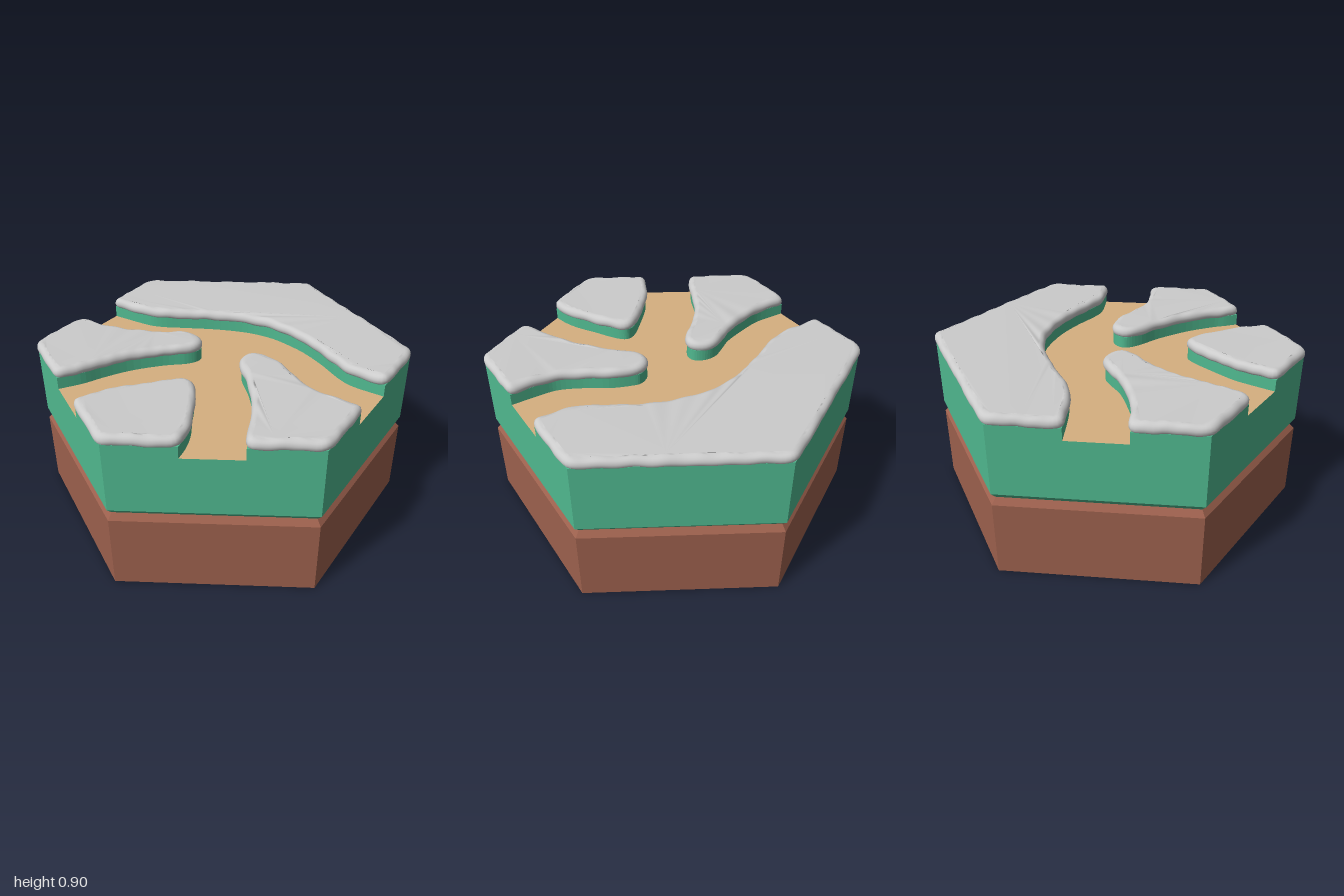
import * as THREE from 'three';
import { mergeVertices } from 'three/addons/utils/BufferGeometryUtils.js';

const GROOVE = 0.435, PATH = 0.782, GRASS = 0.845, BEVEL = 0.032;
const H = Math.sqrt(3) / 2; // half width of the hexagon

// Each island: straight outer corners, then the curved bank, as [x, z]
const ISLANDS = {
  back: {
    corners: [[-H, -0.15], [-H, -0.5], [0, -1], [H, -0.5], [H, -0.15]],
    bank: [[H, -0.15], [0.7, -0.155], [0.6, -0.19], [0.45, -0.28], [0.3, -0.35], [0.15, -0.39], [0.05, -0.4],
      [-0.08, -0.385], [-0.25, -0.325], [-0.42, -0.24], [-0.55, -0.175], [-0.65, -0.155], [-H, -0.15]],
  },
  right: {
    corners: [[-0.56, 0.677], [-H, 0.5], [-H, 0.15]],
    bank: [[-H, 0.15], [-0.7, 0.15], [-0.6, 0.13], [-0.42, 0.07], [-0.33, 0.015], [-0.26, -0.025], [-0.19, -0.03],
      [-0.135, 0], [-0.125, 0.05], [-0.16, 0.11], [-0.25, 0.19], [-0.36, 0.32], [-0.44, 0.46], [-0.49, 0.57], [-0.56, 0.677]],
  },
  left: {
    corners: [[H, 0.15], [H, 0.5], [0.56, 0.677]],
    bank: [[0.56, 0.677], [0.53, 0.61], [0.5, 0.53], [0.42, 0.38], [0.3, 0.22], [0.2, 0.12], [0.155, 0.05],
      [0.165, 0], [0.22, -0.035], [0.28, -0.025], [0.38, 0.015], [0.5, 0.09], [0.61, 0.14], [0.7, 0.15], [H, 0.15]],
  },
  front: {
    corners: [[-0.3, 0.827], [0, 1], [0.3, 0.827]],
    bank: [[0.3, 0.827], [0.285, 0.75], [0.25, 0.66], [0.19, 0.56], [0.13, 0.455], [0.085, 0.4], [0.045, 0.39],
      [0, 0.415], [-0.06, 0.475], [-0.18, 0.61], [-0.23, 0.69], [-0.3, 0.827]],
  },
};

const vec = ([x, z]) => new THREE.Vector2(x, -z);
const outline = ({ corners, bank }) => [
  ...corners.slice(0, -1).map(vec),
  ...new THREE.SplineCurve(bank.map(vec)).getPoints(bank.length * 4).slice(0, -1),
];

// Evenly spaced outline with softened corners
function soften(points) {
  const path = new THREE.Path([...points, points[0]]);
  let p = path.getSpacedPoints(Math.round(path.getLength() / 0.02)).slice(0, -1);
  for (let pass = 0; pass < 3; pass++) {
    p = p.map((v, i) => v.clone().multiplyScalar(2)
      .add(p[(i + 1) % p.length]).add(p[(i + p.length - 1) % p.length]).divideScalar(4));
  }
  return p;
}

function slab(points, options) {
  return new THREE.ExtrudeGeometry(new THREE.Shape(points), options).rotateX(-Math.PI / 2);
}

// Thick rounded cover with a slightly wavy rim
function coverGeometry(points) {
  let g = slab(soften(points), {
    depth: 0.006, bevelThickness: 0.028, bevelSize: 0.032, bevelOffset: -0.021, bevelSegments: 5,
  });
  g.deleteAttribute('uv');
  g.deleteAttribute('normal');
  g = mergeVertices(g, 1e-4);
  const p = g.attributes.position;
  for (let i = 0; i < p.count; i++) {
    const x = p.getX(i), z = p.getZ(i);
    p.setY(i, p.getY(i) + 0.002 * Math.sin(41 * x + 17 * z) + 0.0015 * Math.sin(67 * z - 29 * x));
    p.setX(i, x + 0.002 * Math.sin(37 * z + 5 * x));
    p.setZ(i, z + 0.002 * Math.sin(33 * x + 9 * z));
  }
  g.computeVertexNormals();
  return g;
}

export function createModel() {
  const model = new THREE.Group();
  const mat = (color, flatShading = true) => new THREE.MeshStandardMaterial({ color, flatShading });
  const earth = mat(0x9c604d), grass = mat(0x50b88f), sand = mat(0xd6b080), cover = mat(0xcccccc, false);

  const add = (name, geometry, material, y = 0, parent = model) => {
    const mesh = new THREE.Mesh(geometry, material);
    mesh.name = name;
    mesh.position.y = y;
    parent.add(mesh);
  };
  // One ring of hexagon sides between two heights
  const band = (name, y0, y1, r0, r1, material) =>
    add(name, new THREE.CylinderGeometry(r1, r0, y1 - y0, 6, 1, true), material, (y0 + y1) / 2);

  // Hexagonal body with a V groove between the two layers
  add('earthBottom', new THREE.CircleGeometry(1, 6, Math.PI / 2).rotateX(Math.PI / 2), earth);
  band('earthSides', 0, GROOVE - BEVEL, 1, 1, earth);
  band('earthBevel', GROOVE - BEVEL, GROOVE, 1, 0.97, earth);
  band('grassBevel', GROOVE, GROOVE + BEVEL, 0.97, 1, grass);
  band('grassSides', GROOVE + BEVEL, PATH, 1, 1, grass);
  add('path', new THREE.CircleGeometry(1, 6, Math.PI / 2).rotateX(-Math.PI / 2), sand, PATH);

  // Raised banks around the forked path, each under a rounded cover
  for (const [side, island] of Object.entries(ISLANDS)) {
    const group = new THREE.Group();
    group.name = side + 'Island';
    const points = outline(island);
    add(side + 'Bank', slab(points, { depth: GRASS - PATH, bevelEnabled: false }), grass, PATH, group);
    add(side + 'Cover', coverGeometry(points), cover, 0.863, group);
    model.add(group);
  }
  return model;
}
